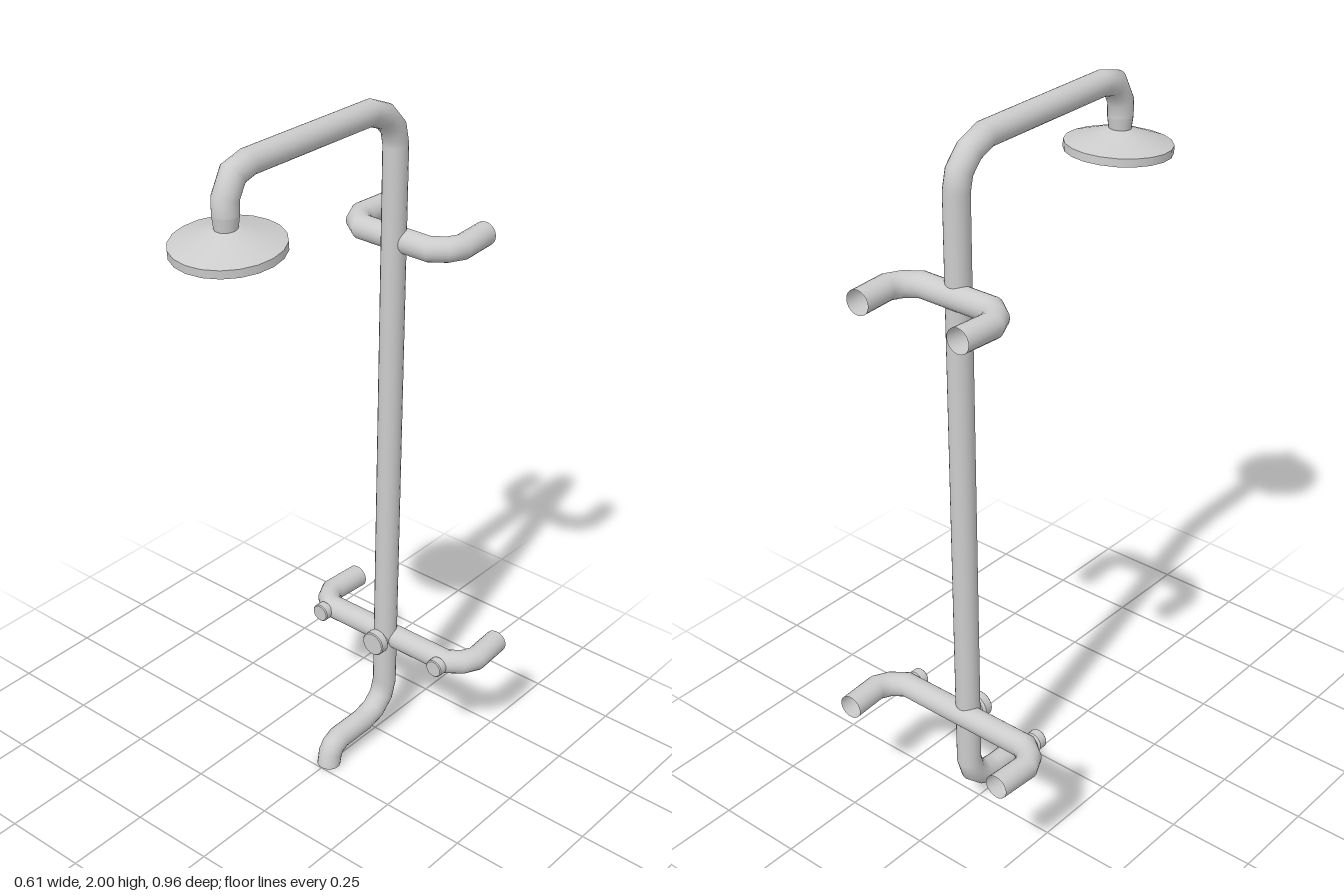
import * as THREE from 'three';

const V = (x, y, z) => new THREE.Vector3(x, y, z);
const SIDES = 20;

function makeMesh(name, geometry, material) {
  const m = new THREE.Mesh(geometry, material);
  m.name = name;
  return m;
}

// Open pipe with mitred joints along a path lying in the plane with normal n.
// The first and last rings can be forced to face a given direction.
function pipe(points, n, r, endDir) {
  const pos = [], idx = [];
  const last = points.length - 1;
  points.forEach((p, i) => {
    const a = points[Math.max(i - 1, 0)], b = points[Math.min(i + 1, last)];
    const din = (i ? p.clone().sub(a) : b.clone().sub(p)).normalize();
    const dout = (i < last ? b.clone().sub(p) : din.clone()).normalize();
    let t = din.clone().add(dout).normalize();
    if (i === last && endDir) t = endDir;
    const side = t.clone().cross(n).multiplyScalar(1 / t.dot(din));
    for (let k = 0; k < SIDES; k++) {
      const ang = (k / SIDES) * Math.PI * 2;
      const q = p.clone().addScaledVector(n, r * Math.cos(ang)).addScaledVector(side, r * Math.sin(ang));
      pos.push(q.x, q.y, q.z);
      if (i < last) {
        const c = i * SIDES + k, d = i * SIDES + (k + 1) % SIDES;
        idx.push(c, c + SIDES, d, d, c + SIDES, d + SIDES);
      }
    }
  });
  // Wind every face outwards
  for (let i = 0; i < idx.length; i += 3) [idx[i + 1], idx[i + 2]] = [idx[i + 2], idx[i + 1]];
  const g = new THREE.BufferGeometry();
  g.setAttribute('position', new THREE.Float32BufferAttribute(pos, 3));
  g.setIndex(idx);
  g.computeVertexNormals();
  return g;
}

// Lathe with hard edges: each profile segment gets its own normals
function turned(name, profile, material) {
  const group = new THREE.Group();
  group.name = name;
  for (let i = 0; i < profile.length - 1; i++) {
    const pts = [profile[i], profile[i + 1]].map(([r, y]) => new THREE.Vector2(r, y));
    group.add(makeMesh(name + 'Surface', new THREE.LatheGeometry(pts, SIDES), material));
  }
  return group;
}

export function createModel() {
  const root = new THREE.Group();
  root.name = 'outdoorShower';
  const metal = new THREE.MeshStandardMaterial({ color: 0xcccccc, side: THREE.DoubleSide });
  const R = 0.034, BAR_Z = -0.305;

  // Main riser: foot spout, upright, overhead arm and drop to the head
  const riser = [
    [0, -0.034], [0.036, -0.041], [0.054, -0.054], [0.066, -0.08],
    [0.066, -0.185], [0.079, -0.238], [0.113, -0.275], [0.16, -0.29],
    [1.85, -0.29], [1.897, -0.279], [1.937, -0.242], [1.961, -0.185],
    [1.966, 0.26], [1.952, 0.313], [1.90, 0.341], [1.86, 0.341],
  ].map(([y, z]) => V(0, y, z));
  const riserGeo = pipe(riser, V(1, 0, 0), R);
  // Level the foot opening with the ground
  const rp = riserGeo.attributes.position;
  for (let k = 0; k < SIDES; k++) rp.setY(k, 0);
  root.add(makeMesh('riserPipe', riserGeo, metal));

  // Tapered neck and shower head
  const neck = makeMesh('headNeck', new THREE.CylinderGeometry(R, 0.029, 0.04, SIDES, 1, true), metal);
  neck.position.set(0, 1.84, 0.341);
  root.add(neck);
  const head = turned('showerHead', [[0, -0.022], [0.144, -0.022], [0.144, 0], [0.034, 0.037], [0, 0.037]], metal);
  head.position.set(0, 1.79, 0.337);
  head.rotation.x = 0.073;
  root.add(head);

  // Wall brackets: a cross bar whose two arms bend back, ends open
  function bracket(name, y, cx, half) {
    const arm = [[-0.007, -0.48], [0, -0.37], [-0.019, -0.333], [-0.056, BAR_Z]];
    const left = arm.map(([dx, z]) => V(cx + half + dx, y, z));
    const right = arm.map(([dx, z]) => V(cx - half - dx, y, z)).reverse();
    root.add(makeMesh(name, pipe([...left, ...right], V(0, 1, 0), R, V(0, 0, -1)), metal));
  }
  bracket('upperBracket', 1.585, -0.005, 0.167);
  bracket('lowerBracket', 0.32, 0, 0.271);

  // Tap knobs on the front of the lower bracket
  function knob(name, x, r, front) {
    const k = turned(name, [[r * 0.75, -0.05], [r * 0.75, -0.031], [r, -0.026], [r, -0.003], [r - 0.003, 0], [0, 0]], metal);
    k.rotation.x = Math.PI / 2;
    k.position.set(x, 0.32, front);
    root.add(k);
  }
  knob('rightTap', -0.22, 0.027, -0.25);
  knob('leftTap', 0.209, 0.027, -0.25);
  knob('mixerTap', 0, 0.037, -0.23);

  return root;
}
